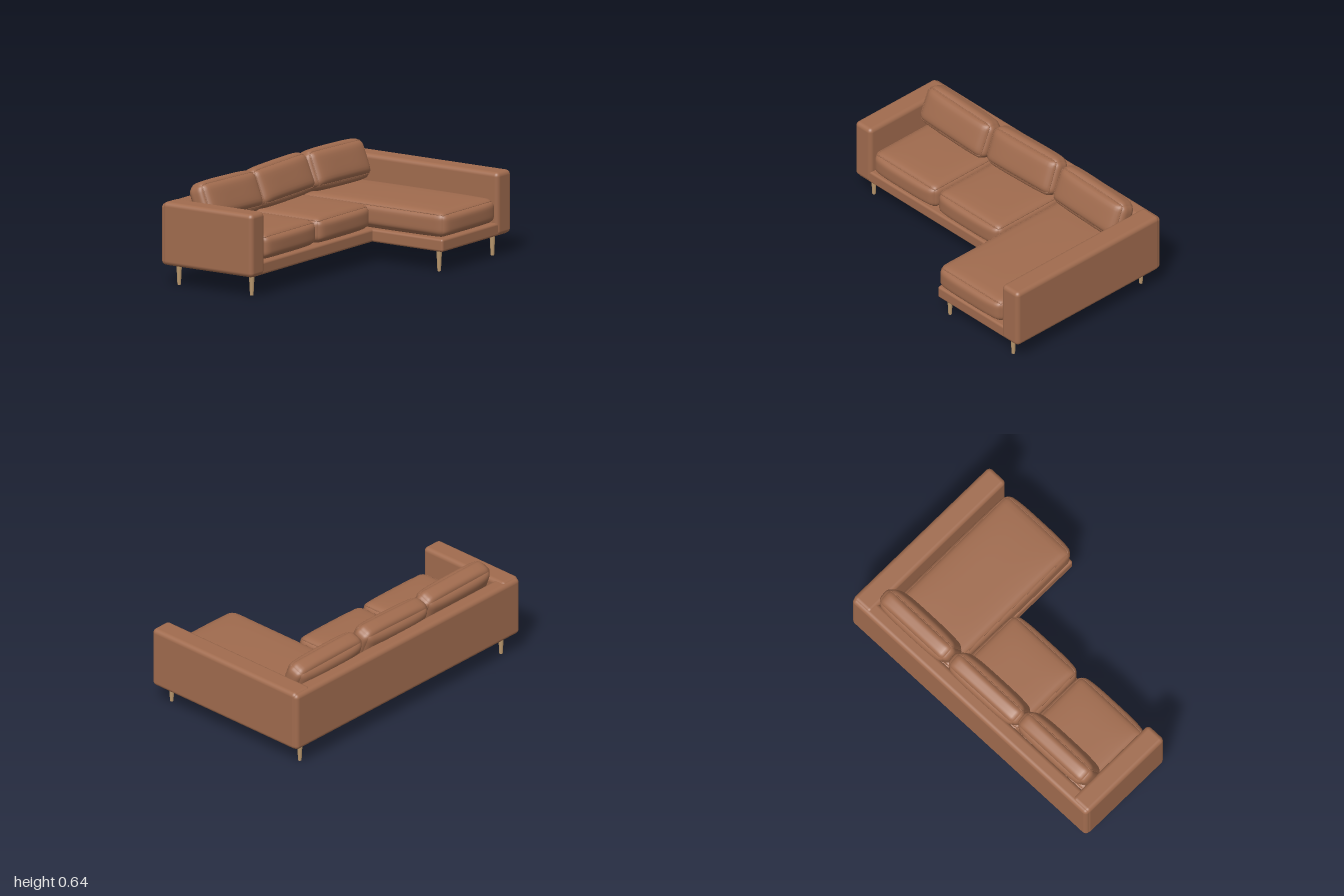
import * as THREE from 'three';
import { mergeVertices } from 'three/addons/utils/BufferGeometryUtils.js';
import { RoundedBoxGeometry } from 'three/addons/geometries/RoundedBoxGeometry.js';

const leather = new THREE.MeshStandardMaterial({ color: 0xa06b4e });
leather.name = 'brown leather';
const wood = new THREE.MeshStandardMaterial({ color: 0xb8966c });
wood.name = 'pale wood';

function add(parent, name, geometry, material) {
  const mesh = new THREE.Mesh(geometry, material);
  mesh.name = name;
  parent.add(mesh);
  return mesh;
}

// Rounded block given by its limits on each axis
function block(parent, name, [x0, x1], [y0, y1], [z0, z1], r) {
  const mesh = add(parent, name, new RoundedBoxGeometry(x1 - x0, y1 - y0, z1 - z0, 4, r), leather);
  mesh.position.set((x0 + x1) / 2, (y0 + y1) / 2, (z0 + z1) / 2);
  return mesh;
}

// Maps a point of the -1..1 cube onto a stuffed, round-edged cushion
function stuff(p, size, r, puff) {
  const u = p.clone();
  const half = size.clone().multiplyScalar(0.5).sub(puff);
  const q = u.clone().multiply(half);
  const inner = q.clone().clamp(
    half.clone().negate().addScalar(r), half.clone().subScalar(r));
  const out = q.sub(inner);
  if (out.lengthSq() > 0) inner.add(out.setLength(r));
  const swell = (a, b) => (1 - a ** 4) * (1 - b ** 4);
  inner.x += puff.x * u.x * swell(u.y, u.z);
  inner.y += puff.y * u.y * swell(u.x, u.z);
  inner.z += puff.z * u.z * swell(u.x, u.y);
  return inner;
}

// Stuffed cushion with piping round the face on the chosen axis
function cushion(parent, name, size, r, puff, pipeAxis) {
  const group = new THREE.Group();
  group.name = name;
  parent.add(group);
  let geo = new THREE.BoxGeometry(2, 2, 2, 24, 18, 24);
  geo.deleteAttribute('uv');
  geo.deleteAttribute('normal');
  geo = mergeVertices(geo);
  const pos = geo.attributes.position;
  const p = new THREE.Vector3();
  const ease = (t) => Math.sin(t * Math.PI / 2);
  for (let i = 0; i < pos.count; i++) {
    p.fromBufferAttribute(pos, i);
    p.set(ease(p.x), ease(p.y), ease(p.z));
    const s = stuff(p, size, r, puff);
    pos.setXYZ(i, s.x, s.y, s.z);
  }
  geo.computeVertexNormals();
  add(group, 'stuffing', geo, leather);

  const path = [];
  const corners = [[-1, -1], [1, -1], [1, 1], [-1, 1]];
  corners.forEach(([a, b], i) => {
    const [c, d] = corners[(i + 1) % 4];
    for (let k = 0; k < 12; k++) {
      const t = (1 + ease(k / 6 - 1)) / 2;
      const s = a + (c - a) * t, v = b + (d - b) * t;
      const point = pipeAxis === 'y' ? new THREE.Vector3(s, 1, v) : new THREE.Vector3(s, v, 1);
      path.push(stuff(point, size, r, puff));
    }
  });
  const curve = new THREE.CatmullRomCurve3(path, true);
  add(group, 'piping', new THREE.TubeGeometry(curve, 120, 0.004, 6, true), leather);
  return group;
}

export function createModel() {
  const sofa = new THREE.Group();
  sofa.name = 'cornerSofa';

  // Frame
  block(sofa, 'seatBase', [-0.97, 0.97], [0.13, 0.21], [-0.6, 0.065], 0.015);
  block(sofa, 'chaiseBase', [0.28, 0.97], [0.13, 0.21], [-0.6, 0.585], 0.015);
  block(sofa, 'backrest', [-0.995, 0.995], [0.13, 0.515], [-0.613, -0.51], 0.028);
  block(sofa, 'shortArm', [-0.998, -0.858], [0.13, 0.523], [-0.6, 0.07], 0.028);
  block(sofa, 'longArm', [0.852, 0.998], [0.13, 0.523], [-0.6, 0.592], 0.028);

  // Seat cushions: x limits and front edge
  [[-0.855, -0.29, 0.083], [-0.29, 0.275, 0.083], [0.278, 0.85, 0.608]].forEach(([x0, x1, front], i) => {
    const back = -0.5;
    const seat = cushion(sofa, 'seatCushion' + (i + 1),
      new THREE.Vector3(x1 - x0, 0.18, front - back), 0.045,
      new THREE.Vector3(0.008, 0.014, 0.022), 'y');
    seat.position.set((x0 + x1) / 2, 0.292, (front + back) / 2);
  });

  // Leaning back cushions: centre and slight tilt
  [[-0.577, 0.502, -0.418, 0.025], [-0.005, 0.5, -0.435, -0.03], [0.58, 0.496, -0.435, 0.025]]
    .forEach(([x, y, z, tilt], i) => {
      const pillow = cushion(sofa, 'backCushion' + (i + 1),
        new THREE.Vector3(0.585, 0.265, 0.175), 0.05,
        new THREE.Vector3(0.01, 0.012, 0.022), 'z');
      pillow.position.set(x, y, z);
      pillow.rotation.set(-0.38, 0, -tilt);
    });

  // Tapered legs
  const legGeo = new THREE.CylinderGeometry(0.018, 0.011, 0.14, 20);
  [[-0.9, -0.54], [0.89, -0.54], [-0.9, 0], [0.33, 0.525], [0.89, 0.525]].forEach(([x, z], i) => {
    add(sofa, 'leg' + (i + 1), legGeo, wood).position.set(x, 0.07, z);
  });

  return sofa;
}
